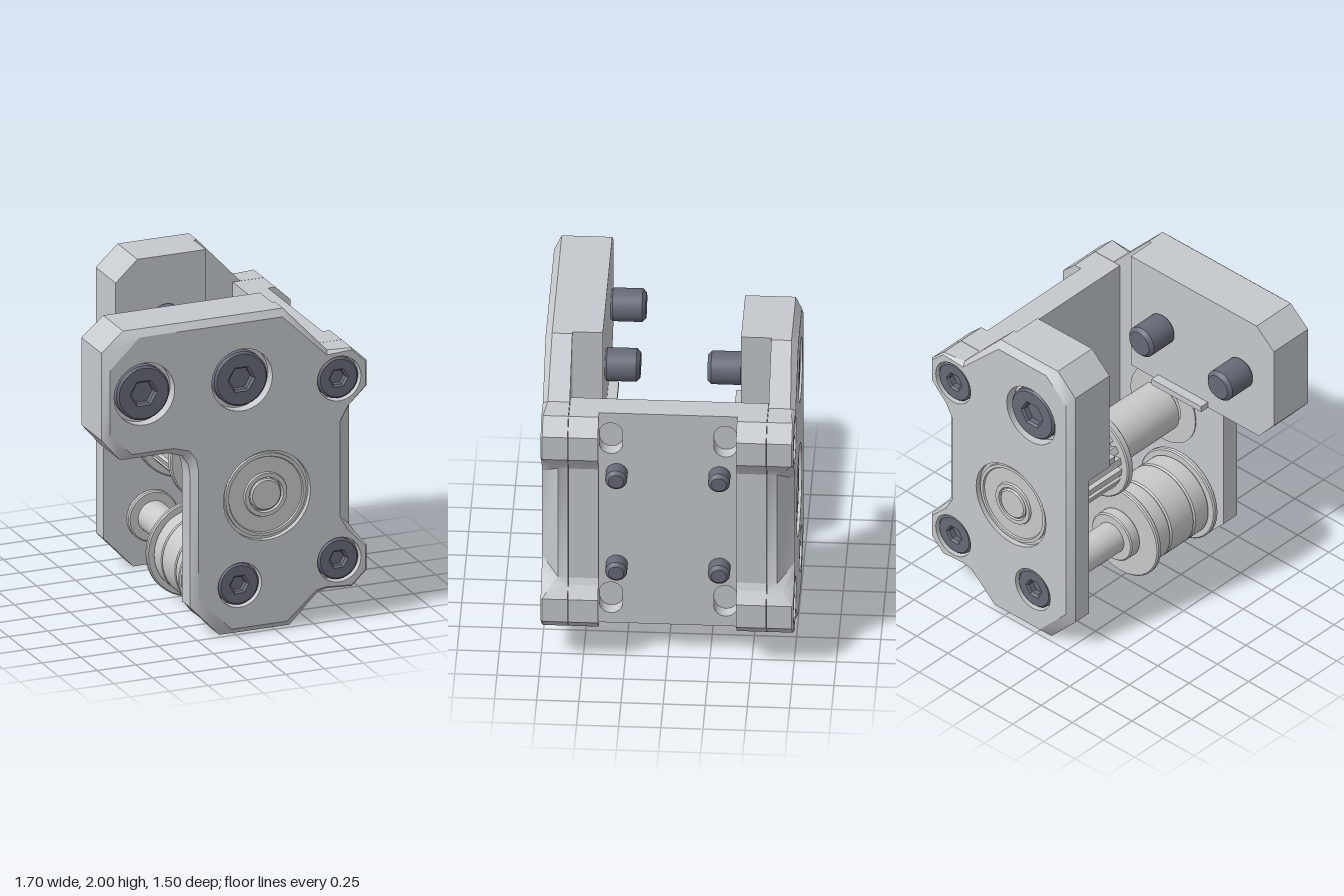
import * as THREE from 'three';
import { toCreasedNormals } from 'three/addons/utils/BufferGeometryUtils.js';

const body = new THREE.MeshStandardMaterial({ color: 0xc5c9cd });
body.name = 'light grey body';
const steel = new THREE.MeshStandardMaterial({ color: 0xc8cac9 });
steel.name = 'pale steel';
const dark = new THREE.MeshStandardMaterial({ color: 0x666a77 });
dark.name = 'dark screw';

function add(parent, name, geometry, material) {
  const mesh = new THREE.Mesh(geometry, material);
  mesh.name = name;
  parent.add(mesh);
  return mesh;
}

const toShape = (pts) => new THREE.Shape(pts.map(([x, y]) => new THREE.Vector2(x, y)));

function circlePath(x, y, r) {
  const p = new THREE.Path();
  p.absarc(x, y, r, 0, Math.PI * 2, true);
  return p;
}

function extrude(shape, z0, z1, bevel = 0) {
  return new THREE.ExtrudeGeometry(shape, {
    depth: z1 - z0 - bevel, curveSegments: 20, bevelEnabled: bevel > 0,
    bevelSize: bevel, bevelThickness: bevel, bevelSegments: 1, bevelOffset: -bevel,
  }).translate(0, 0, z0);
}

// Turned part about the z axis; profile is [radius, z]
function turned(profile, segments = 40) {
  const g = new THREE.LatheGeometry(profile.map(([r, z]) => new THREE.Vector2(r, z)), segments);
  return toCreasedNormals(g.rotateX(Math.PI / 2), 0.5);
}

// Solid disc or rod with chamfered ends
const rod = (r, z0, z1, c = 0.008) =>
  turned([[0, z0], [r - c, z0], [r, z0 + c], [r, z1 - c], [r - c, z1], [0, z1]]);

// Outline rows: x, y, face x, face y, z where the chamfer starts (clockwise)
const clampUpper = [
  [0.60, 1.70, 0.585, 1.68, 0.72], [0.75, 1.70, 0.745, 1.69, 0.74],
  [0.845, 1.61, 0.835, 1.605, 0.74], [0.845, 1.45, 0.835, 1.455, 0.74],
  [0.79, 1.38, 0.72, 1.34, 0.69], [0.77, 1.34, 0.67, 1.25, 0.65],
];
const clampEdge = [
  ...clampUpper,
  ...clampUpper.map(([x, y, fx, fy, z]) => [x, 1.9 - y, fx, 1.9 - fy, z]).reverse(),
];
const lowerEdge = [
  [0.54, 0.18, 0.52, 0.21, 0.71], [0.36, 0, 0.33, 0.04, 0.71],
  [-0.09, 0, -0.03, 0.04, 0.71], [-0.28, 0.2, -0.24, 0.26, 0.71],
];
const armEdge = [
  [-0.28, 1.03, -0.24, 1.06, 0.71], [-0.29, 1.1, -0.255, 1.14, 0.71],
  [-0.33, 1.16, -0.30, 1.20, 0.71], [-0.42, 1.19, -0.40, 1.23, 0.71],
  [-0.73, 1.19, -0.67, 1.23, 0.71], [-0.85, 1.33, -0.81, 1.37, 0.71],
  [-0.85, 1.88, -0.81, 1.78, 0.71], [-0.71, 2, -0.62, 1.96, 0.71],
];
const shortEdge = [[-0.28, 1.87, -0.24, 1.82, 0.71], [-0.14, 2, -0.08, 1.96, 0.71]];
const topCorner = [[0.32, 2, 0.30, 1.96, 0.71]];

// Chamfered plate with round recess openings in its face
function plateGeometry(rows, holes) {
  const loops = [
    rows.map(([x, y]) => [x, y, 0.59]),
    rows.map(([x, y, , , z]) => [x, y, z]),
    rows.map(([, , x, y]) => [x, y, 0.75]),
  ];
  const pos = [];
  for (let k = 0; k < 2; k++) {
    for (let i = 0; i < rows.length; i++) {
      const j = (i + 1) % rows.length;
      const [a, b] = [loops[k], loops[k + 1]];
      pos.push(...a[i], ...b[i], ...b[j], ...a[i], ...b[j], ...a[j]);
    }
  }
  const sides = new THREE.BufferGeometry();
  sides.setAttribute('position', new THREE.Float32BufferAttribute(pos, 3));
  const face = toShape(loops[2]);
  holes.forEach(([x, y, r]) => face.holes.push(circlePath(x, y, r)));
  const front = new THREE.ShapeGeometry(face, 20).translate(0, 0, 0.75);
  const back = new THREE.ShapeGeometry(toShape(rows.map(([x, y]) => [-x, y])))
    .rotateY(Math.PI).translate(0, 0, 0.59);
  return { sides: toCreasedNormals(sides, 0.55), front, back };
}

// Socket head screw facing +z
function screwHead(parent, x, y, r, bore, hex) {
  const g = new THREE.Group();
  g.name = 'socketScrew';
  g.position.set(x, y, 0);
  parent.add(g);
  add(g, 'counterbore', turned([[bore, 0.75], [bore, 0.68], [0, 0.68]]), body);
  const shape = new THREE.Shape().absarc(0, 0, r, 0, Math.PI * 2);
  const socket = [];
  for (let i = 0; i < 6; i++) {
    socket.push(new THREE.Vector2(hex * Math.cos(i * Math.PI / 3), hex * Math.sin(i * Math.PI / 3)));
  }
  shape.holes.push(new THREE.Path(socket.reverse()));
  add(g, 'screwHead', extrude(shape, 0.685, 0.74, 0.012), dark);
  add(g, 'socketFloor', new THREE.CircleGeometry(hex + 0.02, 24).translate(0, 0, 0.695), dark);
  return g;
}

// One end plate; m = -1 mirrors it to the back
function endPlate(m) {
  const g = new THREE.Group();
  g.name = m > 0 ? 'frontPlate' : 'backPlate';
  if (m < 0) g.rotation.y = Math.PI;
  const flip = (rows) => rows.map(([x, y, fx, fy, z]) => [x * m, y, fx * m, fy, z]);
  const left = m > 0 ? armEdge : shortEdge;
  let rows = flip([...topCorner, ...clampEdge, ...lowerEdge, ...left]);
  if (m < 0) rows = rows.reverse();

  const screws = [
    [0.04, 1.6, 0.17, 0.195, 0.075], [0.665, 1.52, 0.13, 0.14, 0.05],
    [0.665, 0.38, 0.13, 0.14, 0.05], [0.025, 0.31, 0.13, 0.14, 0.05],
  ];
  if (m > 0) screws.push([-0.59, 1.6, 0.17, 0.195, 0.075]);
  const holes = screws.map(([x, y, , b]) => [x * m, y, b]);
  holes.push([0.2 * m, 0.85, 0.28]);
  const parts = plateGeometry(rows, holes);
  add(g, 'plateSides', parts.sides, body);
  add(g, 'plateFace', parts.front, body);
  add(g, 'plateInnerFace', parts.back, body);

  // Thick mounting block and its small ledge
  const blockOutline = m > 0
    ? [...left.slice(3), [0.3, 2], [0.3, 1.19]]
    : [[-0.28, 1.19], ...left, [0.3, 2], [0.3, 1.19]];
  add(g, 'mountBlock', extrude(toShape(blockOutline.map(([x, y]) => [x * m, y])), 0.41, 0.6), body);
  const x0 = m > 0 ? -0.32 : -0.27;
  add(g, 'ledge', new THREE.BoxGeometry(0.08 - x0, 0.04, 0.08), body)
    .position.set(m * (0.08 + x0) / 2, 1.21, 0.39);

  // Clamp flange joining the side plate
  const flange = [...clampEdge.map(([x, y]) => [x * m, y]), [0.55 * m, 0.2], [0.55 * m, 1.7]];
  add(g, 'clampFlange', extrude(toShape(flange), 0.41, 0.588), body);

  // Screws, with the large ones passing through the block
  for (const [x, y, r, bore, hex] of screws) {
    const s = screwHead(g, x * m, y, r, bore, hex);
    if (r > 0.15) add(s, 'screwTip', rod(0.1, 0.2, 0.42, 0.022), dark);
  }

  // Bearing seen from outside and inside
  add(g, 'bearing', turned([
    [0.28, 0.75], [0.28, 0.715], [0.26, 0.715], [0.26, 0.735], [0.24, 0.735], [0.235, 0.725],
    [0.14, 0.725], [0.135, 0.738], [0.11, 0.738], [0.11, 0.70], [0.1, 0.70], [0.1, 0.73],
    [0.09, 0.74], [0, 0.74],
  ], 48), steel).position.set(0.2 * m, 0.85, 0);
  add(g, 'bearingInnerRing', turned([
    [0.14, 0.595], [0.14, 0.583], [0.26, 0.583], [0.26, 0.595],
  ], 48), steel).position.set(0.2 * m, 0.85, 0);
  return g;
}

export function createModel() {
  const model = new THREE.Group();
  model.name = 'beltTensionerBracket';
  model.add(endPlate(1), endPlate(-1));

  // Side plate with blind slots in its outer layer
  const side = new THREE.Group();
  side.name = 'sidePlate';
  model.add(side);
  const rect = () => toShape([[-0.5, 0.2], [0.5, 0.2], [0.5, 1.7], [-0.5, 1.7]]);
  const outer = rect();
  for (const z of [-0.34, 0.34]) {
    for (const y of [0.38, 1.52]) {
      const slot = new THREE.Path();
      slot.absarc(z, y + 0.04, 0.069, 0, Math.PI);
      slot.absarc(z, y - 0.04, 0.069, Math.PI, Math.PI * 2);
      outer.holes.push(slot);
    }
  }
  add(side, 'sidePlateInner', extrude(rect(), 0.55, 0.62).rotateY(Math.PI / 2), body);
  add(side, 'sidePlateOuter', extrude(outer, 0.62, 0.702).rotateY(Math.PI / 2), body);
  for (const z of [-0.305, 0.305]) {
    for (const y of [0.62, 1.275]) {
      add(side, 'sideScrew', rod(0.065, 0.65, 0.8, 0.02).rotateY(Math.PI / 2), dark).position.set(0, y, z);
    }
  }

  // Toothed drive pulley on the main shaft
  const drive = new THREE.Group();
  drive.name = 'drivePulley';
  drive.position.set(0.2, 0.85, 0);
  model.add(drive);
  const teeth = [];
  for (let i = 0; i < 20; i++) {
    [[0, 0.25], [0.55, 0.25], [0.62, 0.21], [0.93, 0.21]].forEach(([t, r]) => {
      const a = (i + t) * Math.PI / 10;
      teeth.push([r * Math.cos(a), r * Math.sin(a)]);
    });
  }
  add(drive, 'pulleyTeeth', extrude(toShape(teeth), -0.51, -0.04), steel);
  add(drive, 'pulleyFlangeFront', rod(0.3, -0.05, 0), steel);
  add(drive, 'pulleyFlangeBack', rod(0.3, -0.56, -0.505), steel);
  add(drive, 'pulleyCollar', rod(0.2, -0.01, 0.025), steel);
  add(drive, 'hub', rod(0.16, 0.02, 0.56), steel);
  add(drive, 'mainShaft', rod(0.11, -0.69, 0.69), steel);

  // Idler roller stack on the lower shaft
  const idler = new THREE.Group();
  idler.name = 'idlerRoller';
  idler.position.set(0.025, 0.31, 0);
  model.add(idler);
  add(idler, 'idlerFlange', rod(0.3, 0.02, 0.055), steel);
  add(idler, 'idlerFlange', rod(0.3, 0.515, 0.55), steel);
  [[0.055, 0.18], [0.18, 0.385], [0.385, 0.515]].forEach(([a, b]) =>
    add(idler, 'idlerSegment', rod(0.26, a, b, 0.01), steel));
  [[-0.06, 0.02], [0.55, 0.59], [-0.59, -0.55]].forEach(([a, b]) =>
    add(idler, 'idlerCollar', rod(0.16, a, b), steel));
  add(idler, 'idlerShaft', rod(0.1, -0.59, 0.59), steel);
  return model;
}
